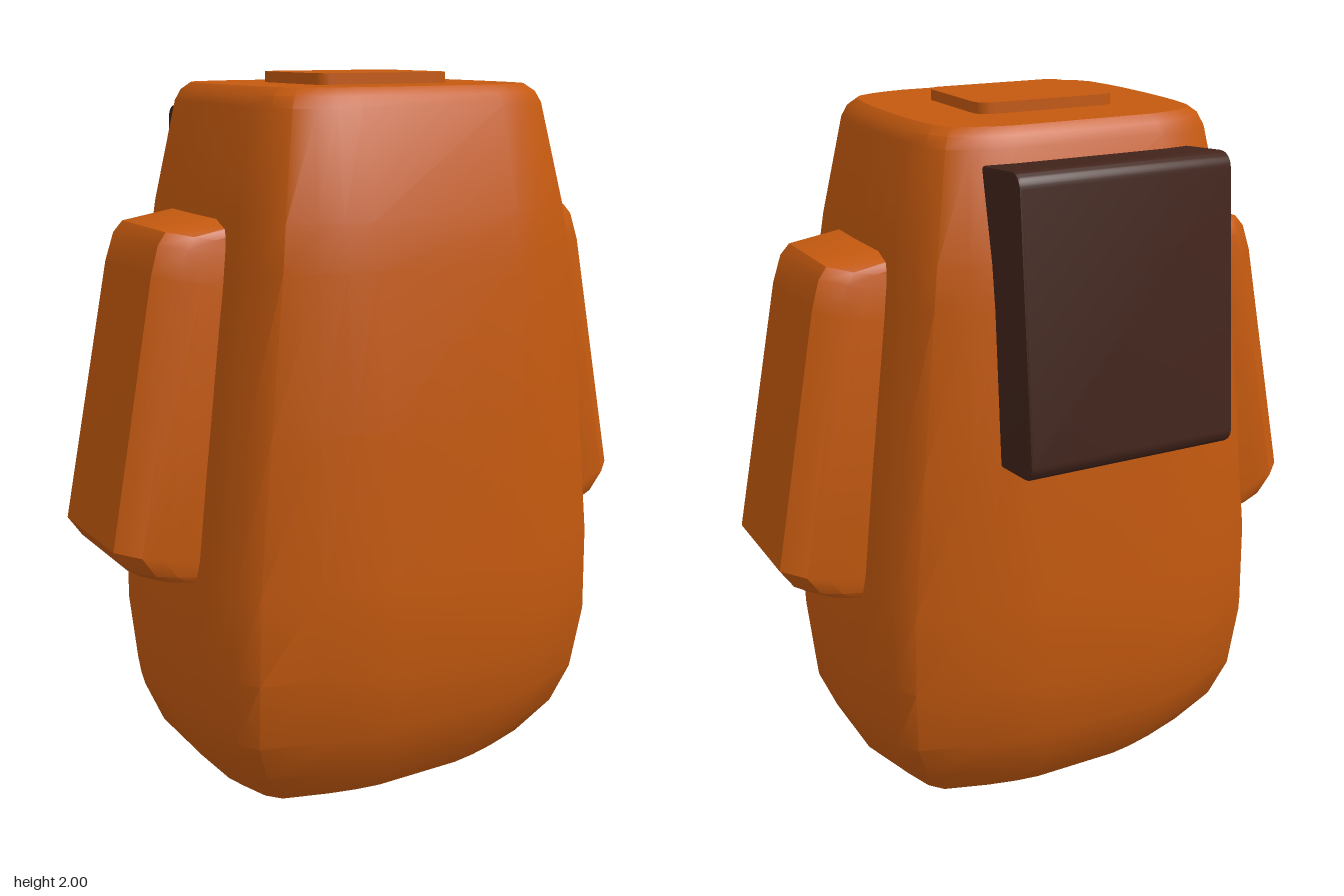
import * as THREE from 'three';
import { toCreasedNormals } from 'three/addons/utils/BufferGeometryUtils.js';

const orange = new THREE.MeshStandardMaterial({ color: 0xc4590f });
const brown = new THREE.MeshStandardMaterial({ color: 0x42241b });

// Skin a stack of equal-length rings (bottom to top, each running +x to +z) and cap both ends
function loft(rings, crease) {
  const n = rings[0].length;
  const pos = rings.flat().flatMap((p) => p.toArray());
  const index = [];
  for (let i = 0; i < rings.length - 1; i++) {
    for (let j = 0; j < n; j++) {
      const a = i * n + j, b = i * n + (j + 1) % n;
      index.push(a, a + n, b, b, a + n, b + n);
    }
  }
  [0, rings.length - 1].forEach((r) => {
    const c = new THREE.Vector3();
    rings[r].forEach((p) => c.addScaledVector(p, 1 / n));
    const centre = pos.length / 3;
    pos.push(c.x, c.y, c.z);
    for (let j = 0; j < n; j++) {
      const a = r * n + j, b = r * n + (j + 1) % n;
      index.push(centre, ...(r === 0 ? [a, b] : [b, a]));
    }
  });
  const geo = new THREE.BufferGeometry();
  geo.setAttribute('position', new THREE.Float32BufferAttribute(pos, 3));
  geo.setIndex(index);
  return toCreasedNormals(geo, crease);
}

// Rounded rectangle extruded along z and centred
function roundedSlab(w, h, r, depth, bevel) {
  const x = w / 2 - bevel, y = h / 2 - bevel;
  const s = new THREE.Shape();
  s.absarc(x - r, y - r, r, 0, Math.PI / 2);
  s.absarc(-x + r, y - r, r, Math.PI / 2, Math.PI);
  s.absarc(-x + r, -y + r, r, Math.PI, Math.PI * 1.5);
  s.absarc(x - r, -y + r, r, Math.PI * 1.5, Math.PI * 2);
  const geo = new THREE.ExtrudeGeometry(s, {
    depth: depth - 2 * bevel, curveSegments: 5, bevelEnabled: bevel > 0,
    bevelSize: bevel, bevelThickness: bevel, bevelSegments: 2,
  });
  geo.center();
  return toCreasedNormals(geo, 0.6);
}

function add(group, name, geo, material) {
  const mesh = new THREE.Mesh(geo, material);
  mesh.name = name;
  group.add(mesh);
  return mesh;
}

// Quarter sections of the body, low and high, as fractions of the half sizes
const LOW = [[1, 0], [1, 0.3], [0.965, 0.47], [0.91, 0.69], [0.84, 0.8], [0.58, 0.915], [0.415, 0.97], [0.27, 1]];
const HIGH = [[1, 0], [0.995, 0.3], [0.98, 0.5], [0.95, 0.73], [0.88, 0.86], [0.76, 0.93], [0.65, 0.97], [0.5, 1]];

function bodyRing([y, hx, front, back]) {
  const t = THREE.MathUtils.clamp((y - 0.43) / 1.54, 0, 1);
  const q = LOW.map(([x, z], i) => [THREE.MathUtils.lerp(x, HIGH[i][0], t), THREE.MathUtils.lerp(z, HIGH[i][1], t)]);
  const half = [...q, ...q.slice().reverse().map(([x, z]) => [-x, z])];
  const full = [...half, ...half.slice(1, -1).reverse().map(([x, z]) => [x, -z])];
  const zc = (front + back) / 2, hz = (front - back) / 2;
  return full.map(([x, z]) => new THREE.Vector3(x * hx, y, zc + z * hz));
}

// Arm section: flat outer face, softened corners, inner side buried in the body
function armRing([y, u, h]) {
  const half = [[u, 0], [u, 0.73 * h], [u - 0.06, 0.96 * h], [u - 0.12, h], [0.6, 0.96 * h]];
  const full = [...half, ...half.slice(1).reverse().map(([x, z]) => [x, -z])];
  return full.map(([x, z]) => new THREE.Vector3(x, y, z));
}

export function createModel() {
  const model = new THREE.Group();
  model.name = 'packFigure';

  // Body: height, half width, front z, back z
  const levels = [
    [0, 0.49, 0.43, -0.3], [0.11, 0.585, 0.51, -0.38], [0.23, 0.635, 0.555, -0.425],
    [0.43, 0.65, 0.598, -0.46], [0.68, 0.638, 0.594, -0.458], [1.1, 0.582, 0.575, -0.44],
    [1.52, 0.523, 0.55, -0.41], [1.64, 0.503, 0.53, -0.395], [1.92, 0.443, 0.467, -0.337],
    [1.95, 0.428, 0.452, -0.322], [1.97, 0.402, 0.427, -0.3],
  ];
  add(model, 'body', loft(levels.map(bodyRing), 0.55), orange);

  // Raised plate on the crown
  const plate = add(model, 'topPlate', roundedSlab(0.42, 0.345, 0.045, 0.06, 0), orange);
  plate.rotation.x = -Math.PI / 2;
  plate.position.set(0, 1.97, 0.0625);

  // Arms: height along the arm, outer reach, half depth
  const armLevels = [
    [0.535, 0.876, 0.215], [0.555, 0.921, 0.228], [0.605, 0.971, 0.235], [1.34, 0.971, 0.215],
    [1.42, 0.962, 0.208], [1.455, 0.943, 0.2], [1.512, 0.79, 0.192],
  ];
  const armGeo = loft(armLevels.map(armRing), 0.6).rotateZ(0.191);
  ['leftArm', 'rightArm'].forEach((name, i) => {
    const arm = add(model, name, armGeo, orange);
    arm.rotation.y = i * Math.PI;
    arm.position.z = 0.057;
  });

  // Backpack, leaning with the back
  const packGeo = roundedSlab(0.3, 0.79, 0.035, 0.62, 0.008).rotateY(Math.PI / 2);
  const pack = add(model, 'backpack', packGeo, brown);
  pack.rotation.x = 0.087;
  pack.position.set(0, 1.492, -0.41);

  return model;
}
